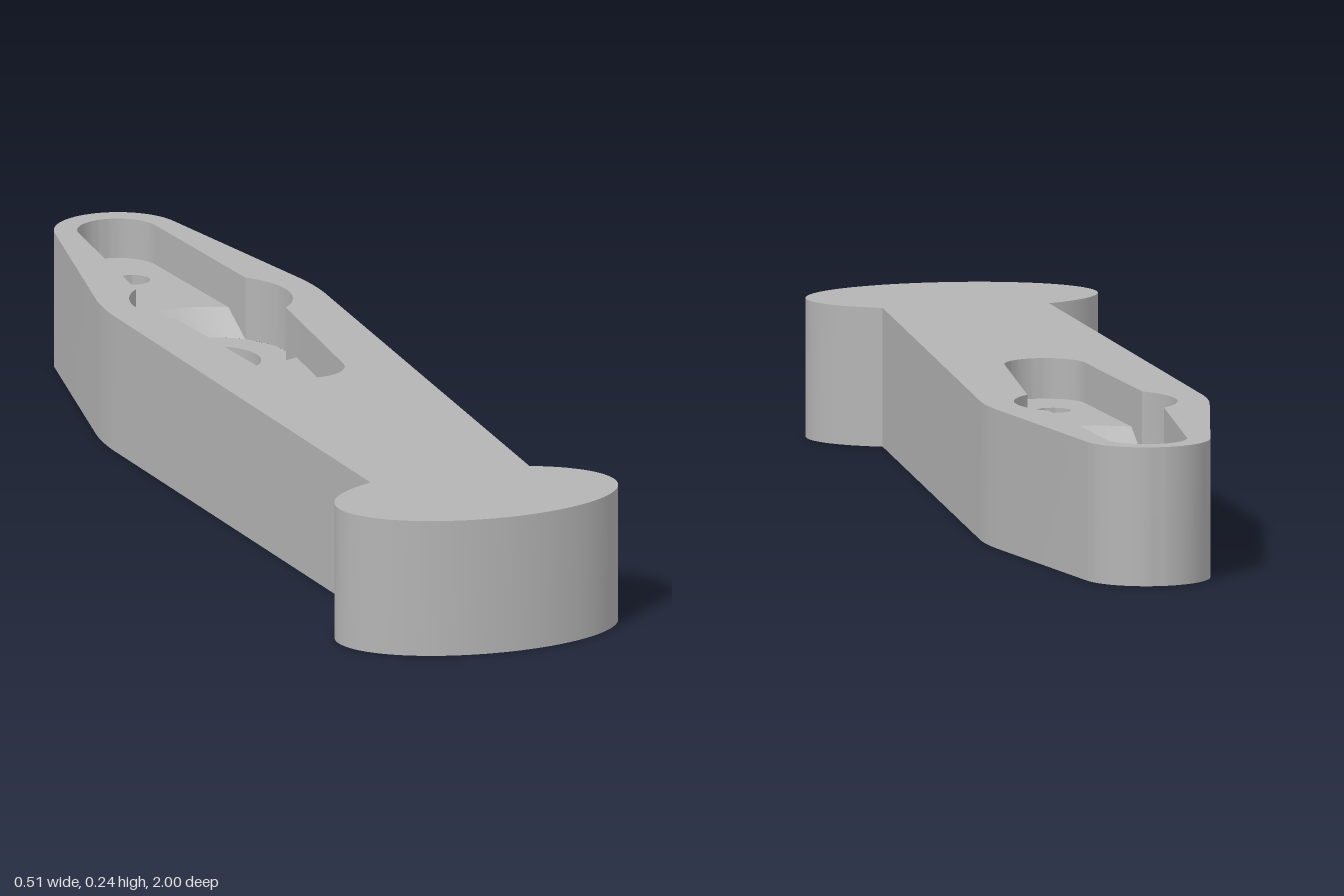
import * as THREE from 'three';
import { toCreasedNormals } from 'three/addons/utils/BufferGeometryUtils.js';

const TOP = 0.24, SLOT = 0.17, SEAT = 0.13, SCREW = 0.1; // floor heights
const HUB = 0.44; // hub centre, measured towards the back
const V = (x, v) => new THREE.Vector2(x, v); // plan point: v points to the back

// points on an ellipse, angles in degrees
function arc(cx, cv, rx, rv, from, to, n = 32) {
  return Array.from({ length: n + 1 }, (_, i) => {
    const a = THREE.MathUtils.degToRad(from + (to - from) * i / n);
    return V(cx + rx * Math.cos(a), cv + rv * Math.sin(a));
  });
}
const circle = (cv, r) => arc(0, cv, r, r, 0, 360, 48).slice(0, -1);
const lift = (pts, y) => pts.map((p, i) => new THREE.Vector3(p.x, Array.isArray(y) ? y[i] : y, -p.y));

// ribbon between a lower and an upper line; faces outward for anticlockwise lines
function strip(lower, upper, inward = false) {
  const pos = [];
  for (let i = 0; i < lower.length - 1; i++) {
    const [a, b, c, d] = [lower[i], lower[i + 1], upper[i + 1], upper[i]];
    for (const p of inward ? [a, c, b, a, d, c] : [a, b, c, a, c, d]) pos.push(p.x, p.y, p.z);
  }
  const g = new THREE.BufferGeometry();
  g.setAttribute('position', new THREE.Float32BufferAttribute(pos, 3));
  return toCreasedNormals(g, Math.PI / 6);
}
const wall = (pts, y0, y1, inward) => strip(lift(pts, y0), lift(pts, y1), inward);

// flat horizontal face with holes
function face(outline, holes, y, down = false) {
  const shape = new THREE.Shape(outline);
  shape.holes = holes.map(h => new THREE.Path(h));
  const g = new THREE.ShapeGeometry(shape);
  g.rotateX(down ? Math.PI / 2 : -Math.PI / 2);
  if (down) g.scale(1, 1, 1);
  return g.translate(0, y, 0);
}

export function createModel() {
  const model = new THREE.Group();
  const grey = new THREE.MeshStandardMaterial({ color: 0xb4b4b4 });
  grey.name = 'plain grey';
  const add = (parent, name, geometry) => {
    const m = new THREE.Mesh(geometry, grey);
    m.name = name;
    parent.add(m);
  };

  // lever outline: oval foot, tapering shank, soft waist, rounded tip
  const waist = new THREE.QuadraticBezierCurve(V(0.193, 0.38), V(0.197, 0.44), V(0.187, 0.5)).getPoints(8);
  const outline = [
    ...arc(0, -0.845, 0.253, 0.155, 125, 415, 64), // foot
    ...waist,
    ...arc(0, 0.89, 0.11, 0.11, 11, 169),
    ...waist.map(p => V(-p.x, p.y)).reverse(),
  ];

  // pocket, relative to the hub centre
  const R = 0.14, RC = 0.19;
  const alpha = 60.2, beta = 44.4; // where the slot sides cross the two circles
  const slotEnd = [
    V(0.1, 0.098), V(0.0943, 0.165),
    ...arc(0, 0.45, 0.07, 0.07, 5, 175),
    V(-0.0943, 0.165), V(-0.1, 0.098),
  ];
  const hubSide = arc(0, 0, R, R, 180 - beta, 180 + beta);
  const half = [...slotEnd, ...hubSide.slice(1, -1)];
  const pocketOutline = [...half, ...half.map(p => V(-p.x, -p.y))].map(p => V(p.x, p.y + HUB));
  const bore = circle(0, 0.086);
  const boreAtHub = circle(HUB, 0.086);

  add(model, 'leverSides', wall([...outline, outline[0]], 0, TOP));
  add(model, 'leverTop', face(outline, [pocketOutline], TOP));
  // underside: plan mirrored so that the turned face lands in place
  const mirror = pts => pts.map(p => V(p.x, -p.y));
  add(model, 'leverUnderside', face(mirror(outline), [mirror(boreAtHub)], 0, true));

  const pocket = new THREE.Group();
  pocket.name = 'pocket';
  pocket.position.z = -HUB;
  model.add(pocket);
  add(pocket, 'hubSeat', face(circle(0, R), [bore], SEAT));
  add(pocket, 'boreWall', wall([...bore, bore[0]], 0, SEAT, true));

  // two matching slot ends, turned about the hub
  const coneTop = arc(0, 0, RC, RC, alpha, 180 - alpha);
  const coneFoot = arc(0, 0, R, R, beta, 180 - beta);
  const screw = circle(0.38, 0.03);
  const floorLine = [...slotEnd.slice(1, -1), ...coneTop.slice(1, -1).reverse()];
  const lowY = slotEnd.map((_, i) => (i === 0 || i === slotEnd.length - 1 ? SEAT : SLOT));
  for (const [side, turn] of [['back', 0], ['front', Math.PI]]) {
    const end = new THREE.Group();
    end.name = side + 'SlotEnd';
    end.rotation.y = turn;
    pocket.add(end);
    add(end, 'slotWall', wall(slotEnd, lowY, TOP, true));
    add(end, 'slotFloor', face(floorLine, [screw], SLOT));
    add(end, 'hubRamp', strip(lift(coneFoot, SEAT), lift(coneTop, SLOT), true));
    add(end, 'hubWall', wall(hubSide, SEAT, TOP, true));
    add(end, 'screwHoleWall', wall([...screw, screw[0]], SCREW, SLOT, true));
    add(end, 'screwHoleFloor', face(screw, [], SCREW));
  }
  return model;
}
